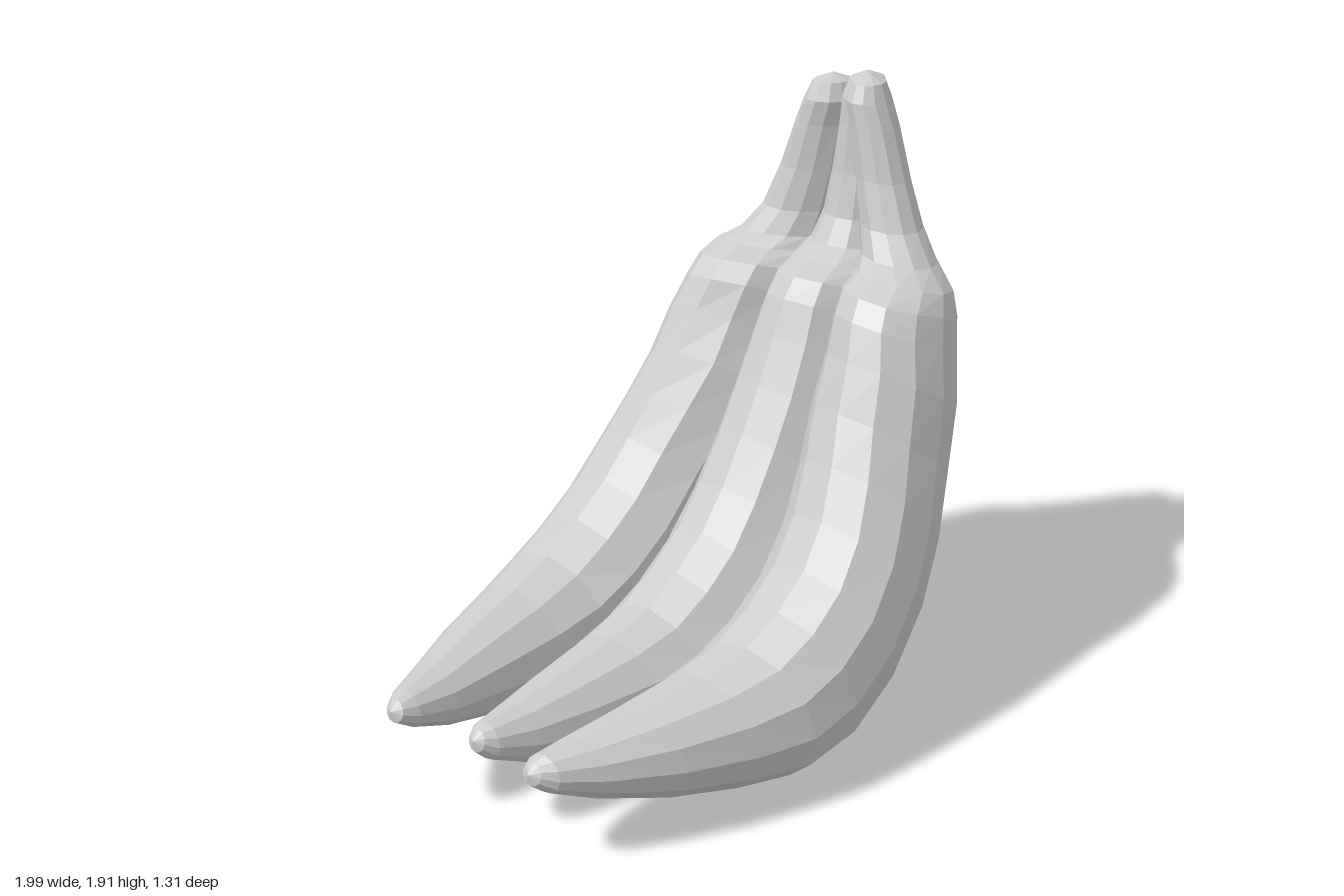
import * as THREE from 'three';

// Sections from tip to stem: [outer x, outer y, inner x, inner y, half width, sideways offset]
const SECTIONS = [
  [-0.89, 0.28, -0.87, 0.345, 0.035, 0.22],
  [-0.85, 0.245, -0.84, 0.36, 0.065, 0.23],
  [-0.72, 0.18, -0.72, 0.37, 0.11, 0.26],
  [-0.50, 0.10, -0.52, 0.395, 0.165, 0.315],
  [-0.27, 0.04, -0.31, 0.42, 0.21, 0.36],
  [-0.08, 0.005, -0.15, 0.46, 0.24, 0.39],
  [0.13, 0.025, -0.02, 0.53, 0.25, 0.40],
  [0.34, 0.14, 0.10, 0.62, 0.25, 0.40],
  [0.53, 0.32, 0.20, 0.74, 0.245, 0.385],
  [0.68, 0.50, 0.29, 0.88, 0.24, 0.35],
  [0.80, 0.70, 0.37, 1.02, 0.235, 0.31],
  [0.90, 0.92, 0.44, 1.16, 0.22, 0.29],
  [0.955, 1.10, 0.49, 1.27, 0.20, 0.265],
  [0.975, 1.20, 0.54, 1.33, 0.19, 0.25],
  [0.965, 1.28, 0.63, 1.36, 0.17, 0.235],
  [0.96, 1.36, 0.70, 1.39, 0.14, 0.185],
  [0.965, 1.46, 0.745, 1.47, 0.115, 0.13],
  [0.97, 1.60, 0.775, 1.61, 0.10, 0.075],
  [0.975, 1.75, 0.79, 1.76, 0.085, 0.03],
  [0.97, 1.84, 0.795, 1.84, 0.078, 0.0],
  [0.945, 1.895, 0.82, 1.895, 0.055, 0.0],
];
const SIDES = 12;

// Loft one fruit; side is -1, 0 or 1, shift(t) returns a small [x, y, z] offset
function bananaGeometry(side, widthScale, shift) {
  const pos = [], index = [], n = SECTIONS.length;
  const centre = (i, dx, dy) => {
    const [ox, oy, ix, iy, , z] = SECTIONS[i];
    const [sx, sy, sz] = shift(i / (n - 1));
    return [(ox + ix) / 2 + sx + dx, (oy + iy) / 2 + sy + dy, z * side + sz];
  };
  SECTIONS.forEach(([ox, oy, ix, iy, w], i) => {
    const [cx, cy, cz] = centre(i, 0, 0);
    // The outer fruits turn towards the middle one around the shoulder
    const turn = 0.2 * side * THREE.MathUtils.smoothstep(i / (n - 1), 0.4, 0.65);
    for (let j = 0; j < SIDES; j++) {
      const a = (j / SIDES) * Math.PI * 2, c = Math.cos(a) / 2, dz = Math.sin(a) * w * widthScale;
      pos.push(cx + c * (ix - ox) - turn * dz, cy + c * (iy - oy), cz + dz);
    }
  });
  // Pointed centres for the two rounded ends
  pos.push(...centre(0, -0.015, 0.005), ...centre(n - 1, 0, 0.023));
  const tip = n * SIDES, top = tip + 1;
  for (let j = 0; j < SIDES; j++) {
    const k = (j + 1) % SIDES;
    for (let i = 0; i < n - 1; i++) {
      const a = i * SIDES + j, b = i * SIDES + k;
      index.push(a, b, b + SIDES, a, b + SIDES, a + SIDES);
    }
    const last = (n - 1) * SIDES;
    index.push(tip, k, j, top, last + j, last + k);
  }
  const g = new THREE.BufferGeometry();
  g.setAttribute('position', new THREE.Float32BufferAttribute(pos, 3));
  g.setIndex(index);
  g.computeVertexNormals();
  return g;
}

export function createModel() {
  const group = new THREE.Group();
  group.name = 'bananaBunch';
  const mat = new THREE.MeshStandardMaterial({ color: 0xcccccc, flatShading: true });
  const add = (name, ...args) => {
    const mesh = new THREE.Mesh(bananaGeometry(...args), mat);
    mesh.name = name;
    group.add(mesh);
  };
  const ramp = THREE.MathUtils.smoothstep;
  const stem = (t) => ramp(t, 0.6, 0.95);

  add('frontBanana', 1, 1, (t) => [-0.01 * ramp(t, 0.4, 0.6), 0.015 * (1 - t), 0.01 * stem(t)]);
  add('middleBanana', 0, 0.92, (t) => [0.02 * ramp(t, 0.3, 0.6), 0.03 * Math.max(0, 1 - 4 * t), -0.02 * ramp(t, 0.3, 0.6)]);
  // The back fruit is longer and sits a little higher
  add('backBanana', -1, 1, (t) => [
    -0.1 * Math.max(0, 1 - 3 * t) - 0.01 * t,
    0.05 * (1 - ramp(t, 0.4, 0.65)) + 0.03 * Math.max(0, 1 - 4 * t) - 0.02 * stem(t),
    -0.01 - 0.02 * ramp(t, 0.4, 0.6) - 0.1 * stem(t),
  ]);
  return group;
}
